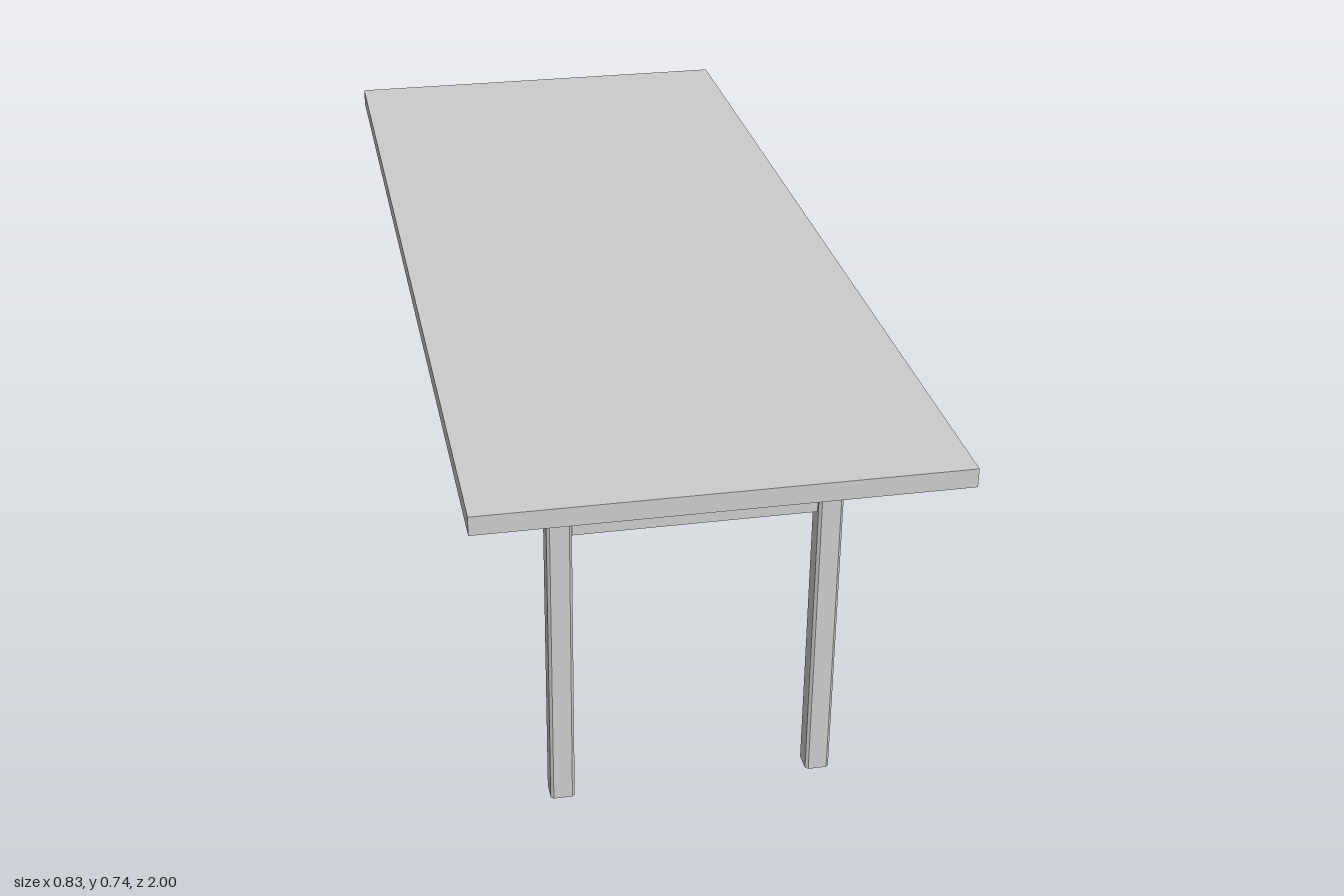
import * as THREE from 'three';

const TOP_Y = 0.738, TOP_T = 0.034, LEG_H = TOP_Y - TOP_T;
const LEG_X = 0.238, LEG_Z = 0.763, LEG_W = 0.044, CHAMFER = 0.005;

// Square post with chamfered long edges, standing on y = 0
function postGeometry(width, height, c) {
  const h = width / 2;
  const outline = [
    [h - c, -h], [h, -h + c], [h, h - c], [h - c, h],
    [-h + c, h], [-h, h - c], [-h, -h + c], [-h + c, -h],
  ].map(([x, y]) => new THREE.Vector2(x, y));
  const geo = new THREE.ExtrudeGeometry(new THREE.Shape(outline), { depth: height, bevelEnabled: false });
  return geo.rotateX(-Math.PI / 2);
}

export function createModel() {
  const table = new THREE.Group();
  table.name = 'table';
  const material = new THREE.MeshStandardMaterial({ color: 0xcccccc, flatShading: true });

  const add = (name, geometry, x, y, z) => {
    const mesh = new THREE.Mesh(geometry, material);
    mesh.name = name;
    mesh.position.set(x, y, z);
    table.add(mesh);
  };

  // Flat rectangular top
  add('tableTop', new THREE.BoxGeometry(0.83, TOP_T, 2), 0, TOP_Y - TOP_T / 2, 0);

  // Two legs and a crossbar at each end
  const leg = postGeometry(LEG_W, LEG_H, CHAMFER);
  const crossbar = new THREE.BoxGeometry(2 * LEG_X - LEG_W, 0.022, 0.022);
  for (const [end, sz] of [['front', 1], ['back', -1]]) {
    for (const [side, sx] of [['Left', 1], ['Right', -1]]) {
      add(`${end}${side}Leg`, leg, sx * LEG_X, 0, sz * LEG_Z);
    }
    add(`${end}Crossbar`, crossbar, 0, 0.558, sz * LEG_Z);
  }
  return table;
}
